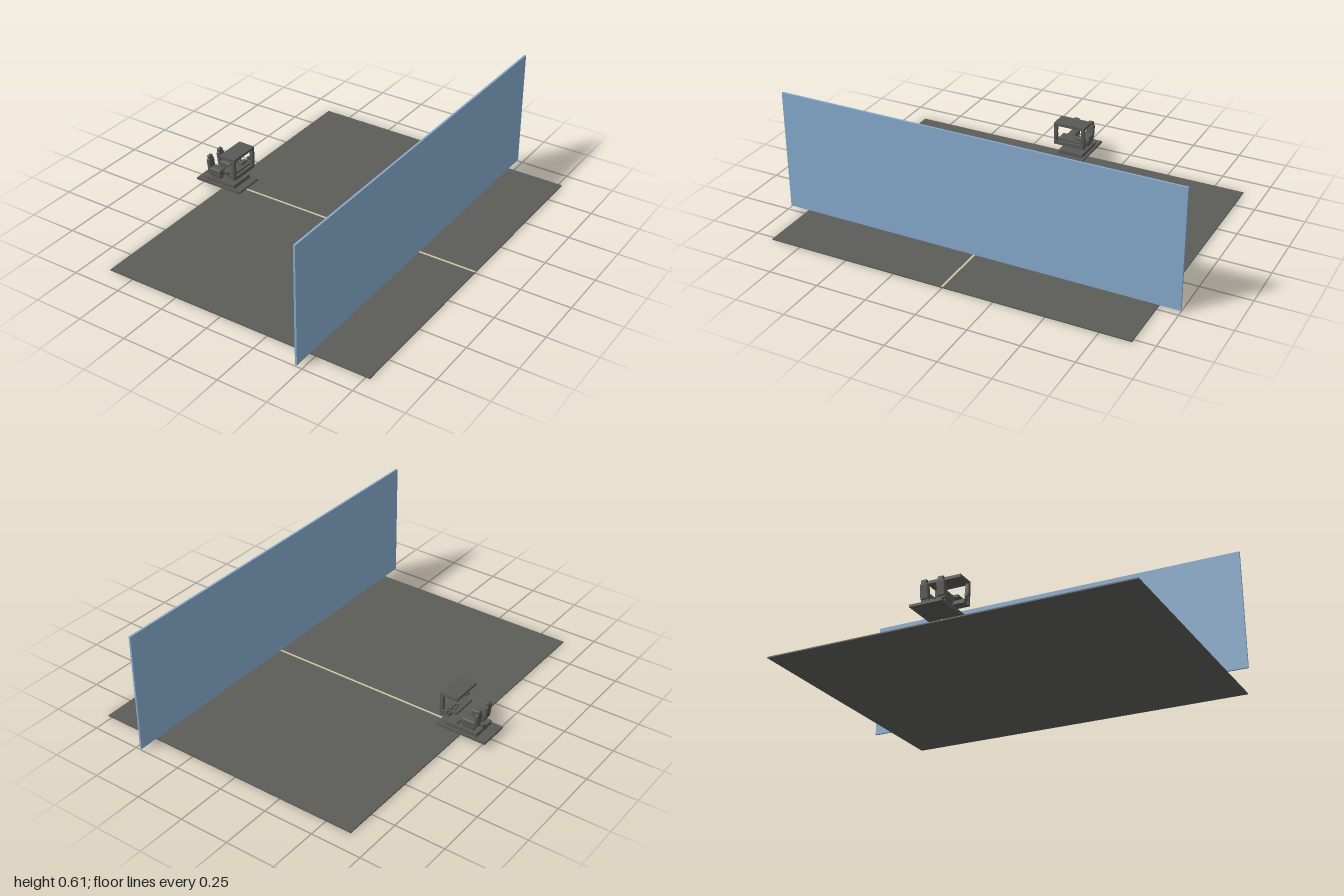
import * as THREE from 'three';
import { RoundedBoxGeometry } from 'three/addons/geometries/RoundedBoxGeometry.js';

export function createModel() {
  const model = new THREE.Group();
  model.name = 'drivingSimulator';
  const material = (name, color) => {
    const m = new THREE.MeshStandardMaterial({ color });
    m.name = name;
    return m;
  };
  const floorGrey = material('floorGrey', 0x5c5d59);
  const rigGrey = material('rigGrey', 0x585956);
  const screenBlue = material('screenBlue', 0x86aace);
  const cream = material('cream', 0xd2c6a0);

  const add = (parent, name, geometry, mat, x = 0, y = 0, z = 0) => {
    const mesh = new THREE.Mesh(geometry, mat);
    mesh.name = name;
    mesh.position.set(x, y, z);
    parent.add(mesh);
    return mesh;
  };
  // Box given by its minimum and maximum on each axis
  const box = (parent, name, mat, [x0, x1], [y0, y1], [z0, z1], radius = 0) => {
    const size = [x1 - x0, y1 - y0, z1 - z0];
    const geometry = radius ? new RoundedBoxGeometry(...size, 2, radius) : new THREE.BoxGeometry(...size);
    return add(parent, name, geometry, mat, (x0 + x1) / 2, (y0 + y1) / 2, (z0 + z1) / 2);
  };

  // Floor, centre line and projection screen
  box(model, 'floor', floorGrey, [-0.63, 0.77], [0, 0.006], [-0.9, 0.9]);
  box(model, 'centreLine', cream, [-0.63, 0.77], [0.006, 0.0075], [-0.005, 0.005]);
  box(model, 'screen', screenBlue, [0.465, 0.475], [0.007, 0.607], [-1, 1]);

  // Simulator base
  const rig = new THREE.Group();
  rig.name = 'cabin';
  model.add(rig);
  box(rig, 'basePlate', rigGrey, [-0.773, -0.51], [0.02, 0.031], [-0.078, 0.078]);
  box(rig, 'platform', rigGrey, [-0.72, -0.55], [0.031, 0.05], [-0.066, 0.066]);
  box(rig, 'centreConsole', rigGrey, [-0.72, -0.62], [0.05, 0.066], [-0.01, 0.01]);

  // Two bucket seats
  for (const z of [-0.04, 0.04]) {
    const seat = new THREE.Group();
    seat.name = 'seat';
    seat.position.z = z;
    rig.add(seat);
    box(seat, 'seatFoot', rigGrey, [-0.695, -0.645], [0.05, 0.066], [-0.015, 0.015]);
    box(seat, 'cushion', rigGrey, [-0.707, -0.635], [0.064, 0.104], [-0.022, 0.022], 0.007);
    const back = box(seat, 'backrest', rigGrey, [-0.718, -0.698], [0.075, 0.147], [-0.021, 0.021], 0.006);
    back.rotation.z = 0.13;
    box(seat, 'headrest', rigGrey, [-0.722, -0.704], [0.14, 0.165], [-0.014, 0.014], 0.005);
  }

  // Roof on two front posts, joined by the dashboard
  box(rig, 'roof', rigGrey, [-0.62, -0.53], [0.196, 0.21], [-0.083, 0.083]);
  for (const side of [-1, 1]) {
    box(rig, 'post', rigGrey, [-0.547, -0.53], [0.092, 0.2], [side * 0.075 - 0.008, side * 0.075 + 0.008]);
    box(rig, 'mirror', rigGrey, [-0.578, -0.564], [0.118, 0.136], [side * 0.088 - 0.008, side * 0.088 + 0.008], 0.003);
    box(rig, 'mirrorArm', rigGrey, [-0.572, -0.535], [0.112, 0.12], [side * 0.08 - 0.003, side * 0.08 + 0.003]);
  }
  box(rig, 'dashboard', rigGrey, [-0.578, -0.53], [0.092, 0.11], [-0.078, 0.078]);
  box(rig, 'dashTop', rigGrey, [-0.61, -0.545], [0.109, 0.12], [-0.066, 0.066]);
  box(rig, 'instrumentHood', rigGrey, [-0.58, -0.56], [0.12, 0.135], [-0.062, -0.018], 0.003);

  // Steering wheel and column
  const wheel = add(rig, 'steeringWheel', new THREE.TorusGeometry(0.017, 0.0025, 8, 24), rigGrey, -0.594, 0.126, -0.04);
  wheel.rotation.y = Math.PI / 2;
  box(rig, 'wheelSpoke', rigGrey, [-0.596, -0.592], [0.124, 0.128], [-0.057, -0.023]);
  const column = add(rig, 'steeringColumn', new THREE.CylinderGeometry(0.004, 0.004, 0.03, 12), rigGrey, -0.58, 0.126, -0.04);
  column.rotation.z = Math.PI / 2;

  // Pedals
  for (const z of [-0.052, -0.04, -0.028]) {
    box(rig, 'pedal', rigGrey, [-0.613, -0.603], [0.049, 0.063], [z - 0.004, z + 0.004]);
  }
  return model;
}
